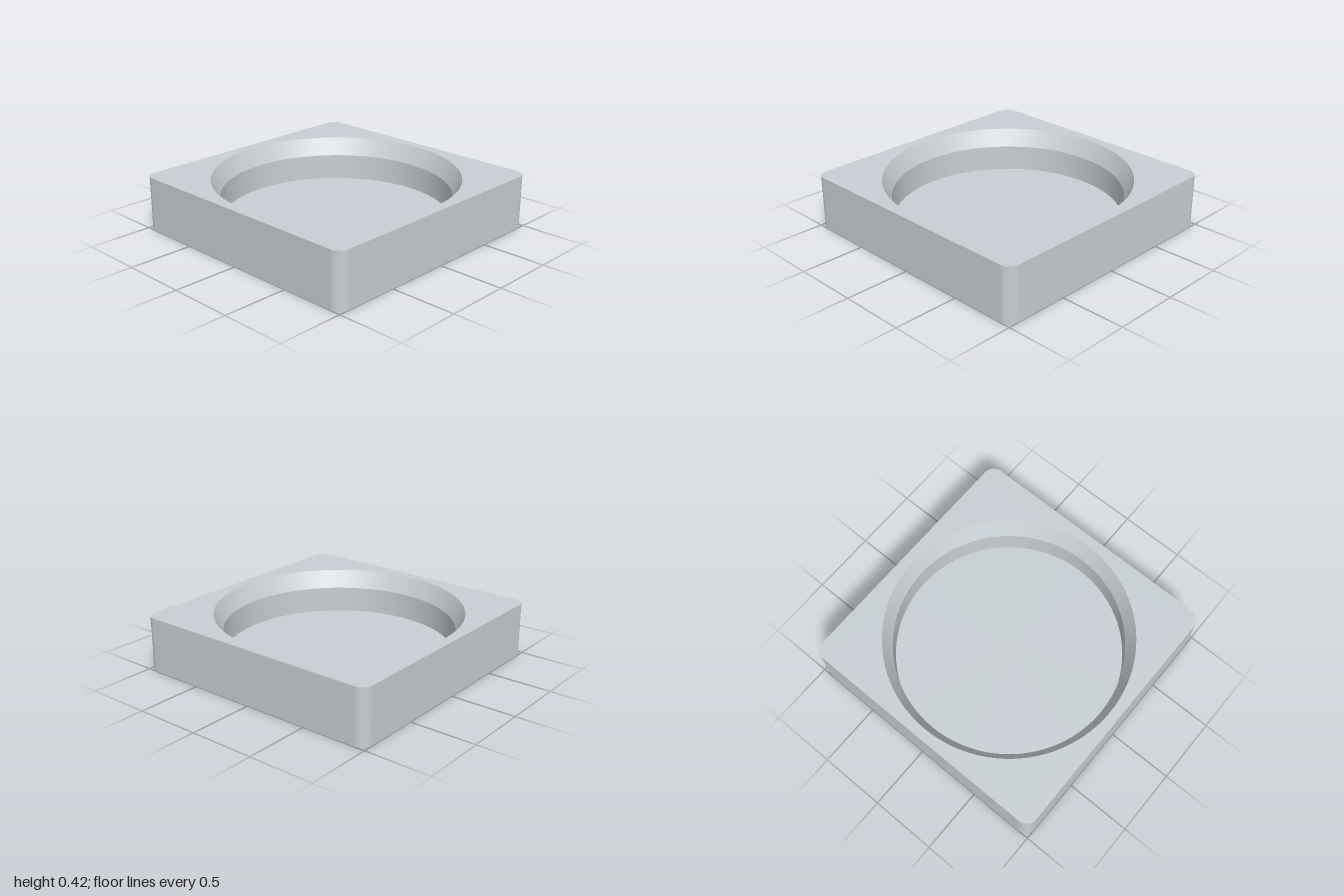
import * as THREE from 'three';

const HEIGHT = 0.417, FLOOR = 0.083, BEVEL = 0.283;
const RIM_R = 0.925, BORE_R = 0.86, CORNER = 0.085, SEGMENTS = 96;

// Rounded square outline: points with their outward normals, anticlockwise
function roundedSquare(steps = 10) {
  const outline = [];
  for (let corner = 0; corner < 4; corner++) {
    const mid = (corner + 0.5) * Math.PI / 2;
    const cx = Math.sign(Math.cos(mid)) * (1 - CORNER);
    const cy = Math.sign(Math.sin(mid)) * (1 - CORNER);
    for (let i = 0; i <= steps; i++) {
      const a = (corner + i / steps) * Math.PI / 2;
      const normal = new THREE.Vector2(Math.cos(a), Math.sin(a));
      outline.push({ normal, point: new THREE.Vector2(cx, cy).addScaledVector(normal, CORNER) });
    }
  }
  return outline;
}

// Upright band around the outline
function sideWall(outline) {
  const position = [], normals = [], index = [], n = outline.length;
  outline.forEach(({ point, normal }, i) => {
    for (const y of [0, HEIGHT]) {
      position.push(point.x, y, point.y);
      normals.push(normal.x, 0, normal.y);
    }
    const b = 2 * i, b2 = 2 * ((i + 1) % n);
    index.push(b, b + 1, b2 + 1, b, b2 + 1, b2);
  });
  const geometry = new THREE.BufferGeometry();
  geometry.setAttribute('position', new THREE.Float32BufferAttribute(position, 3));
  geometry.setAttribute('normal', new THREE.Float32BufferAttribute(normals, 3));
  geometry.setIndex(index);
  return geometry;
}

// Inward-facing ring between two radii, listed from top to bottom
function innerRing(r1, y1, r2, y2) {
  return new THREE.LatheGeometry([new THREE.Vector2(r1, y1), new THREE.Vector2(r2, y2)], SEGMENTS);
}

export function createModel() {
  const model = new THREE.Group();
  model.name = 'squareDish';
  const grey = new THREE.MeshStandardMaterial({ color: 0xc8cfd4 });
  grey.name = 'lightGrey';

  const add = (name, geometry) => {
    const mesh = new THREE.Mesh(geometry, grey);
    mesh.name = name;
    model.add(mesh);
  };

  const outline = roundedSquare();
  const points = outline.map(o => o.point);

  // Outer block
  add('sideWall', sideWall(outline));
  add('underside', new THREE.ShapeGeometry(new THREE.Shape(points)).rotateX(Math.PI / 2));

  // Top face with the round opening
  const topShape = new THREE.Shape(points);
  const opening = [];
  for (let i = 0; i < SEGMENTS; i++) {
    const a = -i / SEGMENTS * Math.PI * 2;
    opening.push(new THREE.Vector2(RIM_R * Math.cos(a), RIM_R * Math.sin(a)));
  }
  topShape.holes.push(new THREE.Path(opening));
  add('topFace', new THREE.ShapeGeometry(topShape).rotateX(-Math.PI / 2).translate(0, HEIGHT, 0));

  // Recess: sloped rim, straight bore and flat floor
  add('rimBevel', innerRing(RIM_R, HEIGHT, BORE_R, BEVEL));
  add('boreWall', innerRing(BORE_R, BEVEL, BORE_R, FLOOR));
  add('recessFloor', new THREE.CircleGeometry(BORE_R, SEGMENTS).rotateX(-Math.PI / 2).translate(0, FLOOR, 0));

  return model;
}
